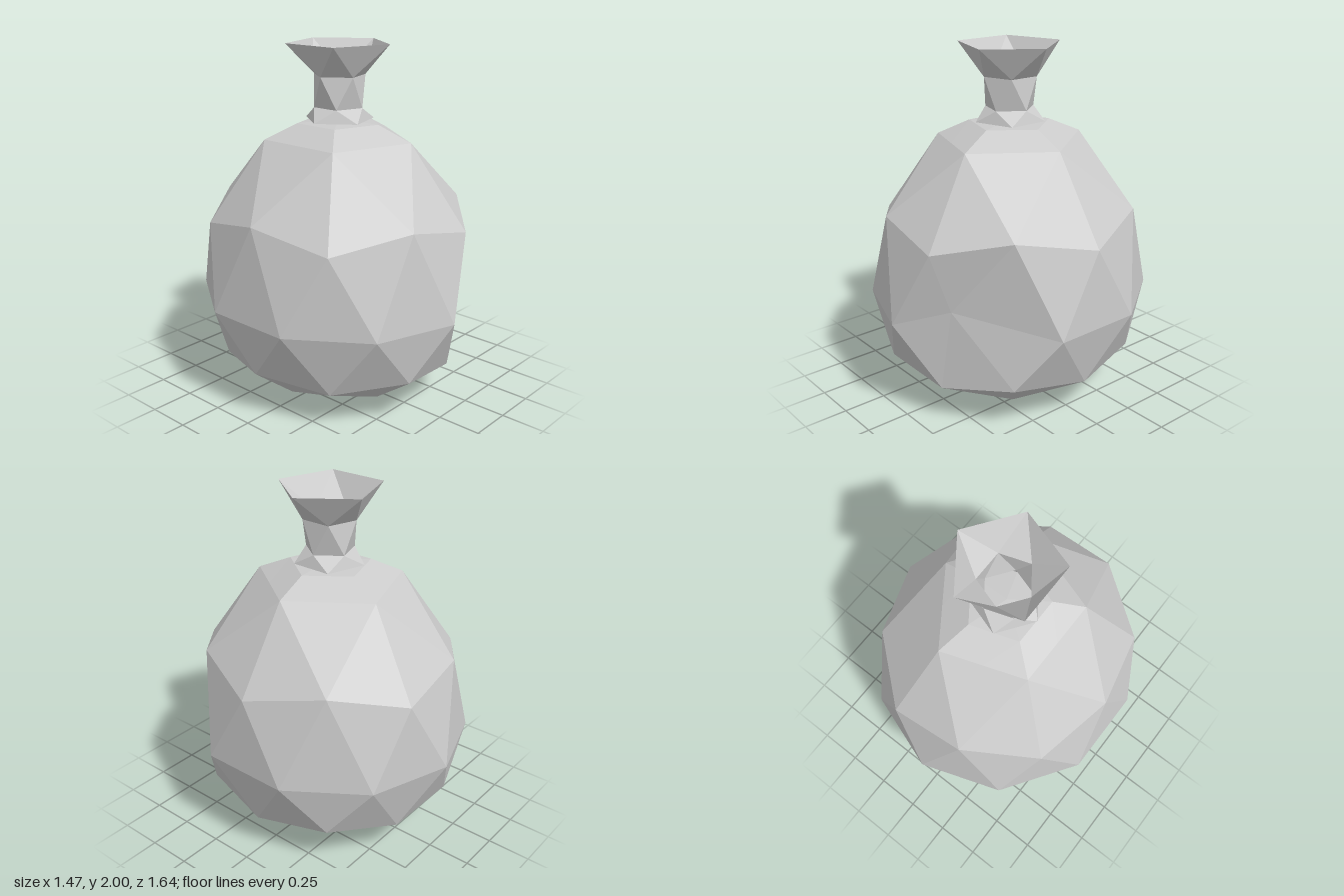
import * as THREE from 'three';

const rad = THREE.MathUtils.degToRad;

// Evenly spaced elliptical ring of points, starting at a phase in degrees
function ring(n, phase, rx, rz, y) {
  return Array.from({ length: n }, (_, i) => {
    const a = rad(phase + (360 / n) * i);
    return new THREE.Vector3(rx * Math.cos(a), y, rz * Math.sin(a));
  });
}

// Ten-point ring alternating between two five-point rings (even, odd)
function weave(phase, even, odd) {
  const a = ring(5, phase, ...even), b = ring(5, phase + 36, ...odd);
  return a.flatMap((p, i) => [p, b[i]]);
}

// Zigzag band: each upper point sits halfway between two lower points
function band(tris, low, up) {
  const n = low.length;
  for (let i = 0; i < n; i++) {
    const j = (i + 1) % n;
    tris.push([low[i], up[i], low[j]], [low[j], up[i], up[j]]);
  }
}

// Joins a ten-point ring to five points that line up with its odd points
function shoulder(tris, outer, inner, flip = false) {
  for (let k = 0; k < 5; k++) {
    const p = inner[k], o = 2 * k;
    const a = outer[o], b = outer[o + 1], c = outer[(o + 2) % 10];
    for (const [u, v, w] of [[a, p, b], [b, p, c], [c, p, inner[(k + 1) % 5]]]) {
      tris.push(flip ? [u, w, v] : [u, v, w]);
    }
  }
}

// Closes a ring to a single point
function fan(tris, points, tip, flip = false) {
  points.forEach((p, i) => {
    const q = points[(i + 1) % points.length];
    tris.push(flip ? [p, q, tip] : [p, tip, q]);
  });
}

function facetedMesh(name, tris, side) {
  const geometry = new THREE.BufferGeometry().setFromPoints(tris.flat());
  geometry.computeVertexNormals();
  const material = new THREE.MeshStandardMaterial({ color: 0xcccccc, flatShading: true, side });
  const mesh = new THREE.Mesh(geometry, material);
  mesh.name = name;
  return mesh;
}

export function createModel() {
  const group = new THREE.Group();
  group.name = 'tiedSack';

  // Sack body: a faceted ball, narrower towards the top
  const body = [];
  const base = ring(5, 36, 0.40, 0.42, 0.05);
  const lower = weave(0, [0.645, 0.68, 0.22], [0.68, 0.725, 0.27]);
  const middle = ring(10, 18, 0.774, 0.82, 0.58);
  const upper = weave(36, [0.685, 0.73, 1.11], [0.72, 0.757, 1.02]);
  const half = Math.cos(rad(36));
  const rim = weave(36, [0.41 * half, 0.43 * half, 1.48], [0.41, 0.43, 1.48]);
  const crown = ring(5, 72, 0.235, 0.235, 1.565);

  // Dent on the front left
  middle[1].set(0.265, 0.69, 0.62);

  fan(body, base, new THREE.Vector3(0, 0, 0), true);
  shoulder(body, lower, base, true);
  band(body, lower, middle);
  band(body, middle, upper);
  shoulder(body, upper, rim.filter((_, i) => i % 2));
  shoulder(body, rim, crown);
  fan(body, crown, new THREE.Vector3(0, 1.58, 0));
  group.add(facetedMesh('sackBody', body, THREE.FrontSide));

  // Open neck: flared skirt, tied waist and wide mouth, each ring turned half a step
  const neck = [];
  const rings = [[0.20, 1.58], [0.14, 1.65], [0.15, 1.825], [0.295, 2.0]]
    .map(([r, y], i) => ring(5, 36 * (i + 1), r, r, y));
  for (let i = 0; i < 3; i++) band(neck, rings[i], rings[i + 1]);
  group.add(facetedMesh('sackNeck', neck, THREE.DoubleSide));

  return group;
}
